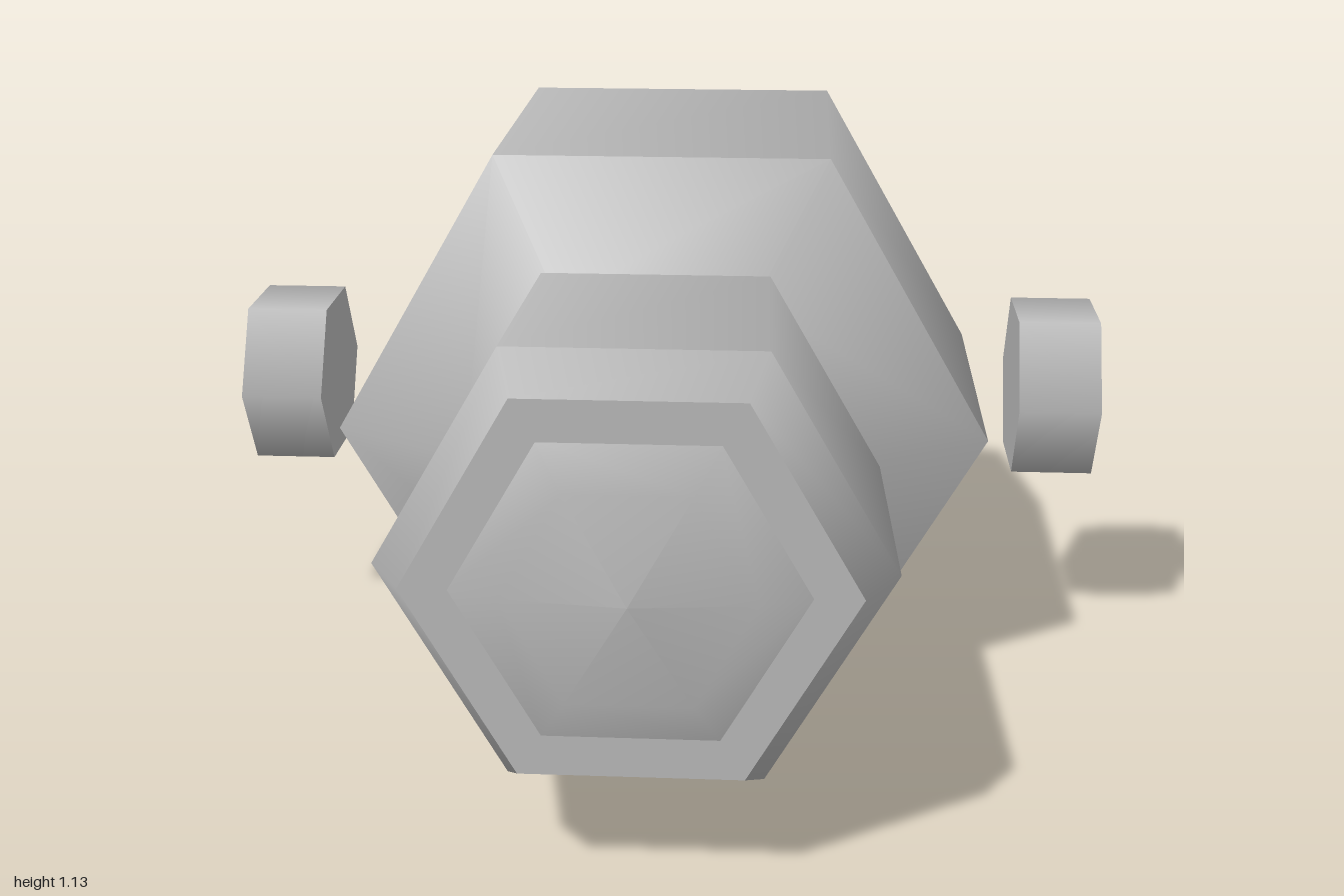
import * as THREE from 'three';

const SIDES = 6;
const CENTER_Y = 0.567;

export function createModel() {
  const model = new THREE.Group();
  model.name = 'hexagonalVessel';

  const grey = new THREE.MeshStandardMaterial({ color: 0xb8b8b8 });
  grey.name = 'plain grey';

  const add = (name, geometry, x = 0, z = 0) => {
    const mesh = new THREE.Mesh(geometry, grey);
    mesh.name = name;
    mesh.position.set(x, CENTER_Y, z);
    model.add(mesh);
    return mesh;
  };

  // Open six-sided section along z, from the back ring to the front ring
  const section = (name, zBack, rBack, zFront, rFront) => {
    const g = new THREE.CylinderGeometry(
      rFront, rBack, zFront - zBack, SIDES, 1, true, Math.PI / 2);
    g.rotateX(Math.PI / 2);
    return add(name, g, 0, (zBack + zFront) / 2);
  };

  // Flat six-sided end plate facing +z or -z
  const plate = (name, z, r, facing) => {
    const g = new THREE.CircleGeometry(r, SIDES);
    if (facing < 0) g.rotateY(Math.PI);
    return add(name, g, 0, z);
  };

  // Main body with pointed tail and sloping shoulder
  section('tailCone', -1, 0, -0.62, 0.655);
  section('body', -0.62, 0.655, 0.135, 0.655);
  section('shoulder', 0.135, 0.655, 0.3, 0.374);

  // Nose barrel with bevelled front rim
  plate('barrelBack', 0.298, 0.434, -1);
  section('barrel', 0.298, 0.434, 0.835, 0.453);
  section('barrelRim', 0.835, 0.453, 0.943, 0.39);
  plate('barrelFront', 0.943, 0.39, 1);

  // Shallow smooth dome on the nose
  const profile = [[0.305, 0.943], [0.217, 0.975], [0, 1]]
    .map(([r, z]) => new THREE.Vector2(r, z));
  const dome = new THREE.LatheGeometry(profile, SIDES, Math.PI / 2);
  dome.rotateX(Math.PI / 2);
  add('noseDome', dome);

  // Floating side pods
  for (const [name, side] of [['leftPod', 1], ['rightPod', -1]]) {
    const pod = new THREE.CylinderGeometry(0.193, 0.193, 0.17, SIDES);
    pod.rotateZ(Math.PI / 2);
    add(name, pod, side * 0.82, -0.245);
  }

  return model;
}
